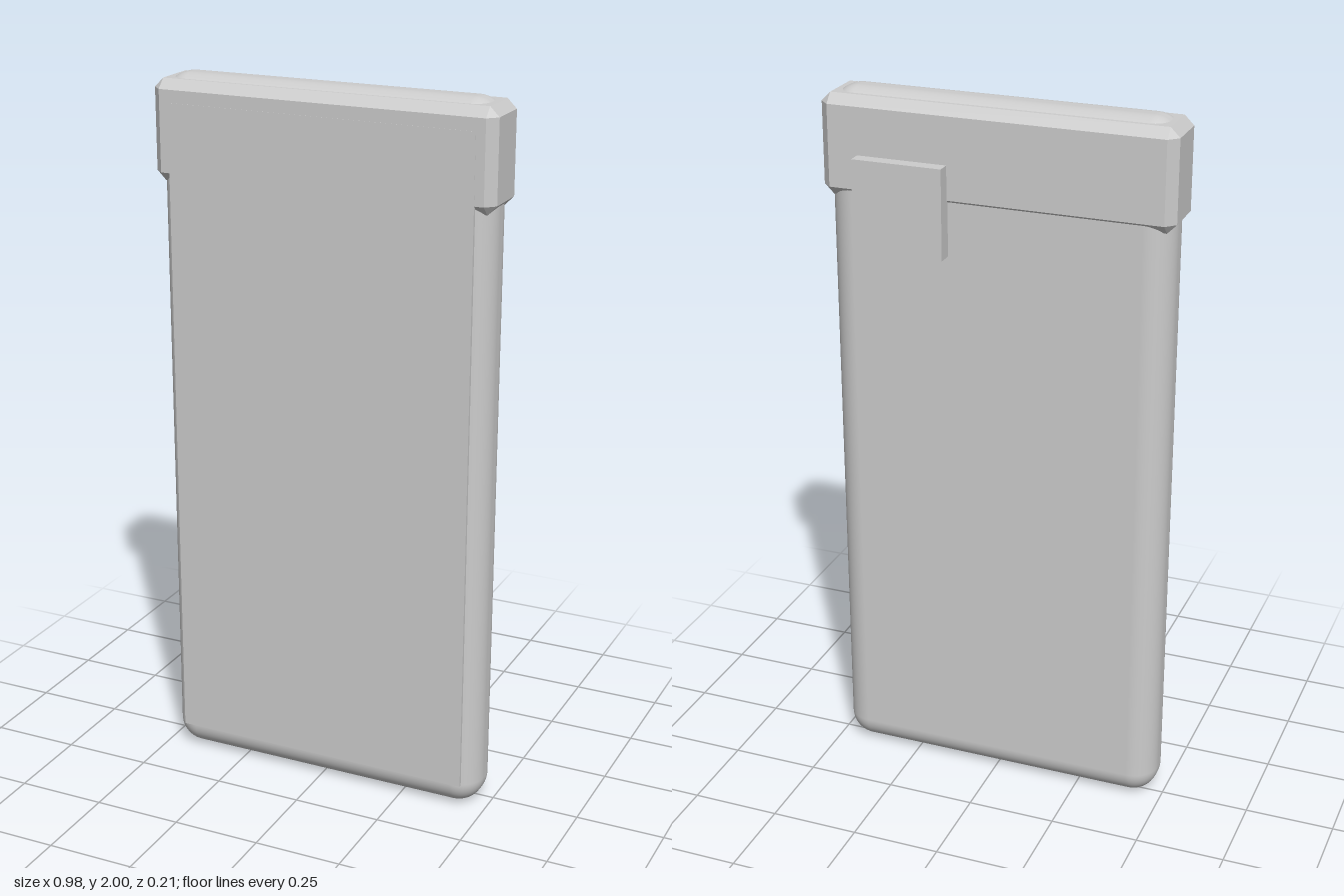
import * as THREE from 'three';
import { RoundedBoxGeometry } from 'three/addons/geometries/RoundedBoxGeometry.js';
import { ConvexGeometry } from 'three/addons/geometries/ConvexGeometry.js';

// Box with every edge cut by a flat chamfer c
function chamferedBox(w, h, d, c) {
  const points = [];
  for (const sx of [-1, 1]) for (const sy of [-1, 1]) for (const sz of [-1, 1]) {
    const [x, y, z] = [w / 2, h / 2, d / 2];
    points.push(
      new THREE.Vector3(sx * x, sy * (y - c), sz * (z - c)),
      new THREE.Vector3(sx * (x - c), sy * y, sz * (z - c)),
      new THREE.Vector3(sx * (x - c), sy * (y - c), sz * z));
  }
  return new ConvexGeometry(points);
}

export function createModel() {
  const group = new THREE.Group();
  const grey = new THREE.MeshStandardMaterial({ color: 0xcccccc });
  grey.name = 'light grey';

  const add = (name, geometry, x, y, z) => {
    const mesh = new THREE.Mesh(geometry, grey);
    mesh.name = name;
    mesh.position.set(x, y, z);
    group.add(mesh);
  };

  // Slim slab with rounded edges
  add('body', new RoundedBoxGeometry(0.96, 2, 0.166, 8, 0.075), 0, 1, 0.02);

  // Chamfered collar around the top end
  add('topCap', chamferedBox(0.98, 0.277, 0.174, 0.026), 0, 1.8475, 0.0185);

  // Thin flat panel on the front
  add('frontPanel', new THREE.BoxGeometry(0.876, 1.85, 0.009), 0, 1.0, 0.1018);

  // Square block on the back, toward the left
  add('backBlock', new THREE.BoxGeometry(0.253, 0.25, 0.048), 0.2535, 1.705, -0.082);

  return group;
}
